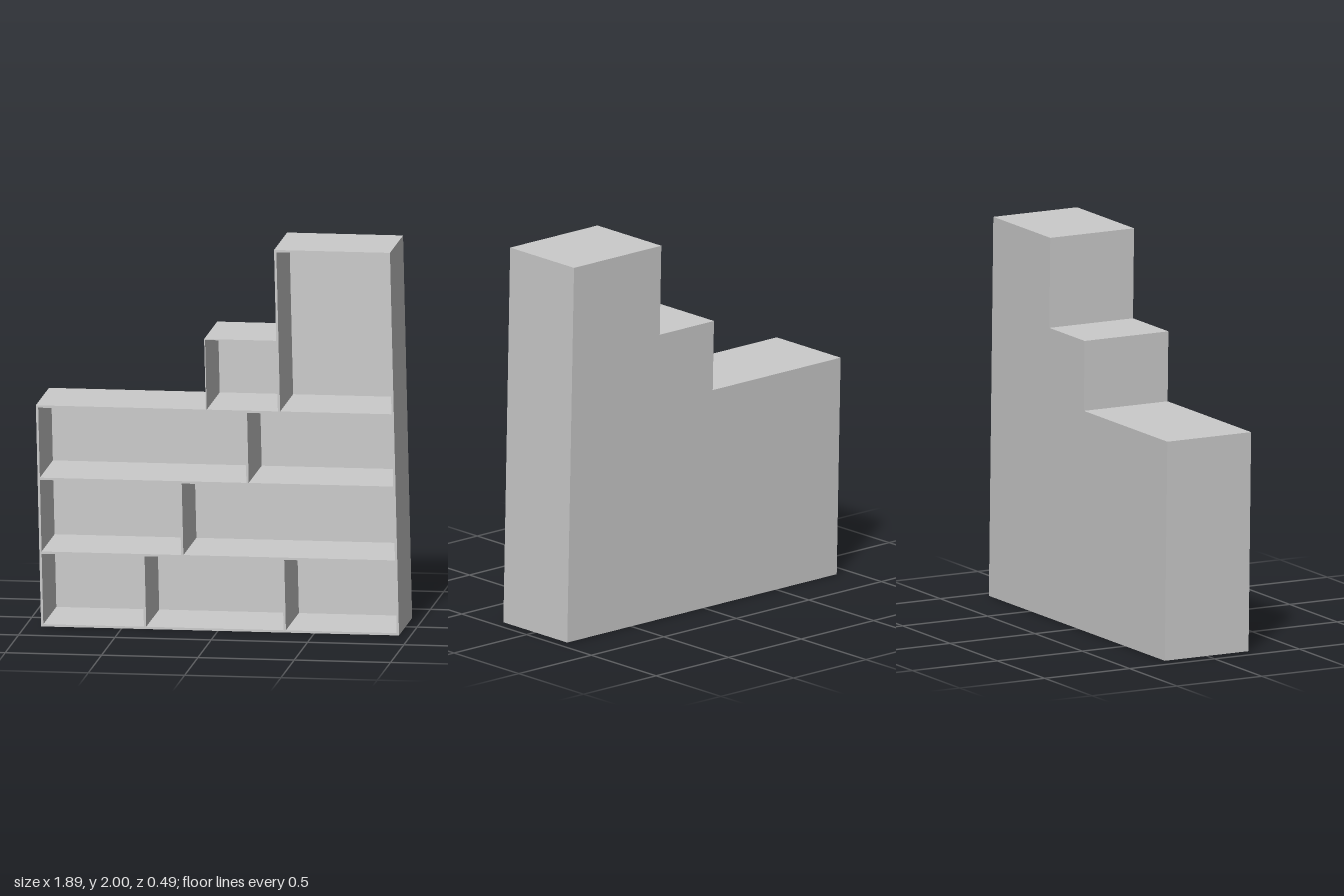
import * as THREE from 'three';

const LEAN = 0.0235; // sideways drift of the frame per unit of height
const D = 0.246;     // half depth
const T = 0.012;     // board thickness

const material = new THREE.MeshStandardMaterial({ color: 0xcccccc, flatShading: true });

// Slide each vertex sideways in proportion to its height
function lean(geometry) {
  const p = geometry.attributes.position;
  for (let i = 0; i < p.count; i++) p.setX(i, p.getX(i) - LEAN * p.getY(i));
  geometry.computeVertexNormals();
  return geometry;
}

export function createModel() {
  const model = new THREE.Group();
  model.name = 'steppedBookcase';

  function add(name, geometry) {
    const mesh = new THREE.Mesh(lean(geometry), material);
    mesh.name = name;
    model.add(mesh);
  }
  function board(name, x0, x1, y0, y1) {
    const g = new THREE.BoxGeometry(x1 - x0, y1 - y0, 2 * D);
    add(name, g.translate((x0 + x1) / 2, (y0 + y1) / 2, 0));
  }

  const L = -0.918, R = 0.94, step = -0.036, tower = 0.338;
  const levels = [0, 0.38, 0.766, 1.144]; // undersides of the full-width boards
  const deck = levels[3] + T, stepTop = 1.525;

  // Full-width boards
  levels.forEach((y, i) => board(i ? 'shelf' + i : 'bottom', L, R, y, y + T));

  // Outer sides
  board('rightSide', L, L + T, T, levels[3]);
  board('leftSide', R - T, R, T, 2 - T);

  // Staggered dividers, row by row (centre positions)
  [[-0.378, 0.347], [-0.176], [0.172]].forEach((row, i) => {
    row.forEach((x) => board('divider', x - T / 2, x + T / 2, levels[i] + T, levels[i + 1]));
  });

  // Small middle step, made of thinner board
  board('stepSide', step, step + 0.005, deck, stepTop - 0.005);
  board('stepTop', step, tower, stepTop - 0.005, stepTop);

  // Tall compartment
  board('towerSide', tower, tower + T, deck, 2 - T);
  board('towerTop', tower, R, 2 - T, 2);

  // Stepped back panel, set just inside the rear edges
  const outline = [
    [L, 0], [R, 0], [R, 2], [tower, 2], [tower, stepTop],
    [step, stepTop], [step, deck], [L, deck],
  ].map(([x, y]) => new THREE.Vector2(x, y));
  const back = new THREE.ExtrudeGeometry(new THREE.Shape(outline), { depth: 0.005, bevelEnabled: false });
  add('backPanel', back.translate(0, 0, -D - 0.001));

  return model;
}
